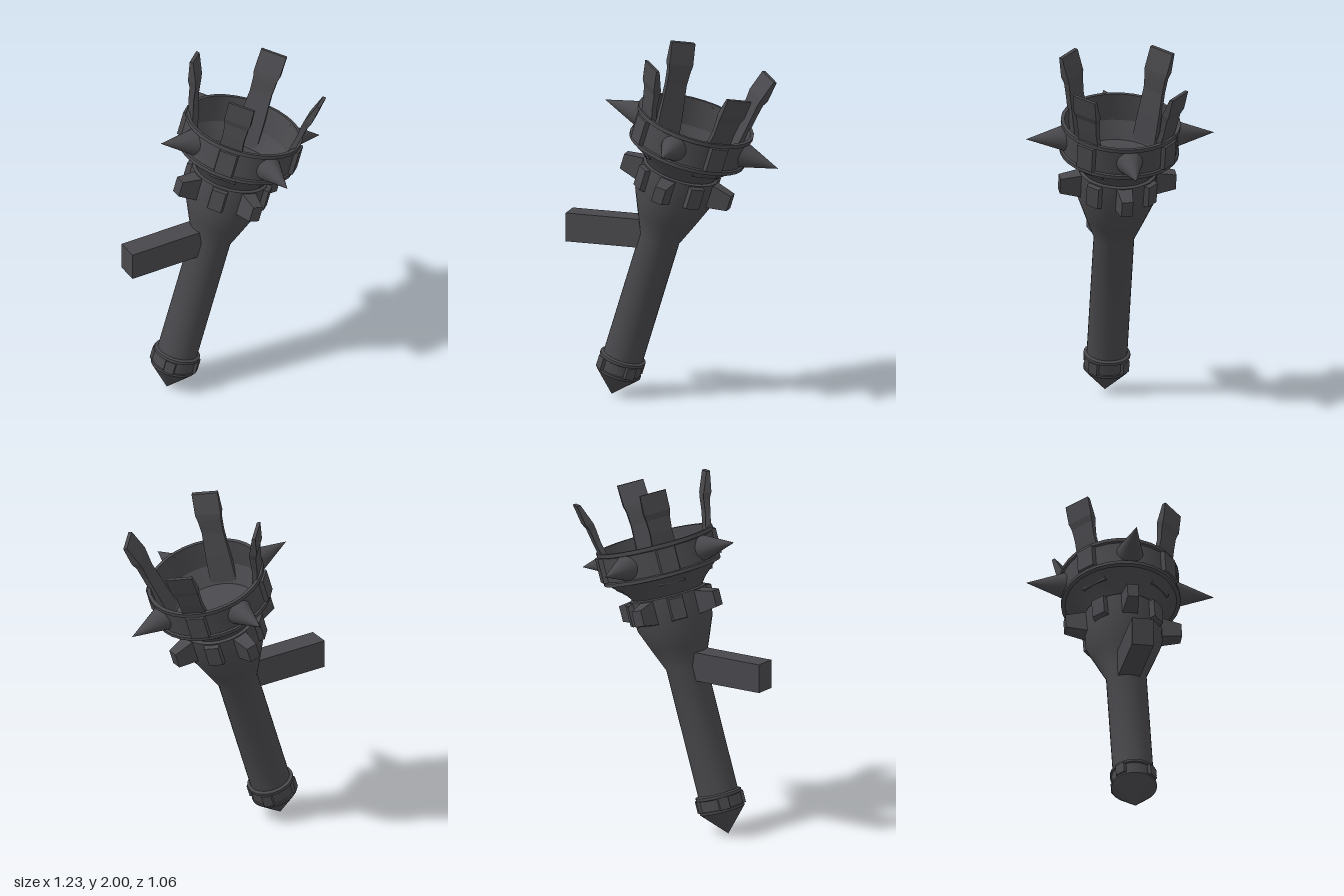
import * as THREE from 'three';
import { toCreasedNormals } from 'three/addons/utils/BufferGeometryUtils.js';

const TILT = THREE.MathUtils.degToRad(17);

export function createModel() {
  const iron = new THREE.MeshStandardMaterial({ color: 0x48474b });
  iron.name = 'dark iron';
  const model = new THREE.Group();
  model.name = 'wallTorch';

  // everything but the wall bracket is built upright, then tilted about the tip
  const torch = new THREE.Group();
  torch.name = 'torch';
  torch.position.set(-0.365, 0, 0);
  torch.rotation.z = -TILT;
  model.add(torch);

  const add = (parent, name, geometry) => {
    const mesh = new THREE.Mesh(geometry, iron);
    mesh.name = name;
    parent.add(mesh);
    return mesh;
  };
  const lathe = (name, profile) => add(torch, name, toCreasedNormals(
    new THREE.LatheGeometry(profile.map(([r, y]) => new THREE.Vector2(r, y)), 32), 0.45));

  // copies of an outward-facing (+x) part around the axis
  const around = (name, geometry, r, y, count, offset) => {
    for (let i = 0; i < count; i++) {
      const arm = new THREE.Group();
      arm.name = name + 'Arm';
      arm.rotation.y = offset + (i / count) * Math.PI * 2;
      add(arm, name, geometry).position.set(r, y, 0);
      torch.add(arm);
    }
  };

  // block whose outer (+x) face is smaller than its base
  const taperedBlock = (depth, height, width, ky, kz) => {
    const g = new THREE.BoxGeometry(depth, height, width).toNonIndexed();
    const p = g.attributes.position;
    for (let i = 0; i < p.count; i++) {
      if (p.getX(i) > 0) p.setXYZ(i, p.getX(i), p.getY(i) * ky, p.getZ(i) * kz);
    }
    g.computeVertexNormals();
    return g;
  };

  // pointed pommel and its banded cap
  lathe('pommel', [[0.0005, 0], [0.127, 0.135], [0.127, 0.148], [0.122, 0.152],
    [0.122, 0.212], [0.13, 0.216], [0.13, 0.232], [0.11, 0.24]]);
  around('pommelPlate', taperedBlock(0.03, 0.08, 0.07, 0.85, 0.8), 0.12, 0.182, 4, Math.PI / 4);

  // handle widening into the collar
  lathe('handle', [[0.113, 0.22], [0.113, 0.965], [0.165, 1.09], [0.215, 1.215],
    [0.217, 1.385], [0.195, 1.392]]);
  around('collarStud', taperedBlock(0.13, 0.14, 0.09, 0.64, 0.7), 0.262, 1.313, 4, 0);
  around('collarPlate', taperedBlock(0.06, 0.14, 0.1, 0.85, 0.8), 0.212, 1.313, 4, Math.PI / 4);

  // bowl: flared underside, rimmed ring, inner wall and floor
  lathe('bowl', [[0.195, 1.385], [0.225, 1.425], [0.31, 1.505], [0.333, 1.507],
    [0.333, 1.527], [0.322, 1.532], [0.322, 1.668], [0.333, 1.673], [0.333, 1.695],
    [0.313, 1.695], [0.3, 1.54], [0.235, 1.45], [0.0005, 1.45]]);
  around('ringPlate', taperedBlock(0.04, 0.146, 0.12, 0.95, 0.85), 0.322, 1.6, 4, Math.PI / 4);

  // four spikes
  const spike = new THREE.ConeGeometry(0.075, 0.22, 24);
  spike.rotateZ(-Math.PI / 2);
  around('spike', spike, 0.42, 1.603, 4, 0);

  // prongs: stations of [height, radius, thickness, width] with an outward kink at the top
  const stations = [[1.46, 0.25, 0.03, 0.15], [1.62, 0.285, 0.03, 0.14], [1.76, 0.318, 0.03, 0.125],
    [1.84, 0.33, 0.035, 0.135], [1.875, 0.342, 0.045, 0.15], [1.99, 0.375, 0.02, 0.15]];
  const n = stations.length - 1;
  let prong = new THREE.BoxGeometry(1, 1, 1, 1, n, 1);
  const pos = prong.attributes.position;
  for (let i = 0; i < pos.count; i++) {
    const [y, r, t, w] = stations[Math.round((pos.getY(i) + 0.5) * n)];
    pos.setXYZ(i, r + pos.getX(i) * t, y, pos.getZ(i) * w);
  }
  prong = prong.toNonIndexed();
  prong.computeVertexNormals();
  around('prong', prong, 0, 0, 4, Math.PI / 4);

  // horizontal wall bracket
  add(model, 'wallBracket', new THREE.BoxGeometry(0.53, 0.163, 0.122)).position.set(-0.35, 0.95, -0.005);

  return model;
}
